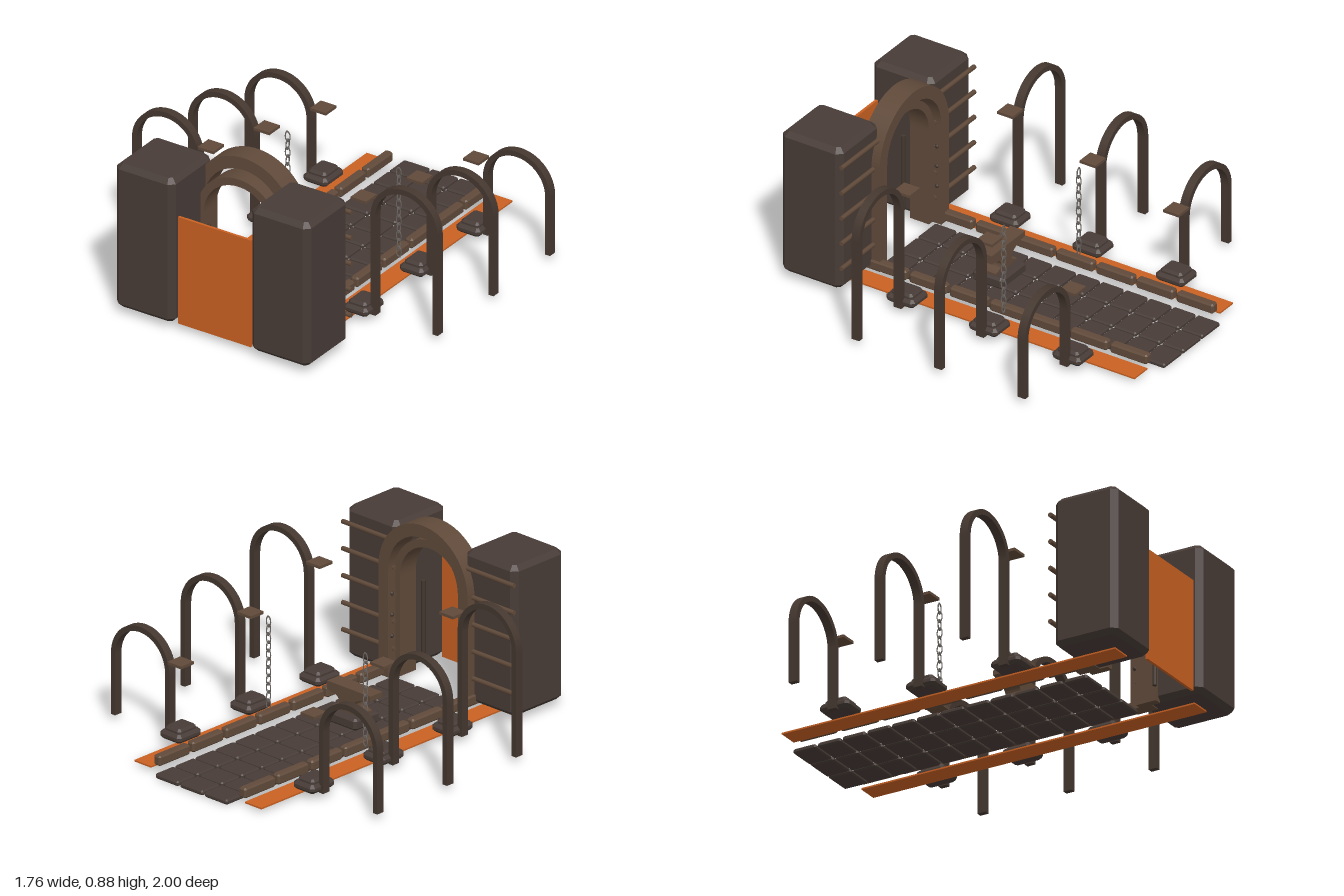
import * as THREE from 'three';

const mat = (name, color, side = THREE.FrontSide) => {
  const m = new THREE.MeshStandardMaterial({ color, side });
  m.name = name;
  return m;
};

// Box with chamfered edges, centred on the origin
function bevelBox(w, h, d, b) {
  const x = w / 2 - b, z = d / 2 - b, c = b * 0.6;
  const s = new THREE.Shape([
    [x - c, -z], [x, -z + c], [x, z - c], [x - c, z],
    [-x + c, z], [-x, z - c], [-x, -z + c], [-x + c, -z],
  ].map(p => new THREE.Vector2(...p)));
  const g = new THREE.ExtrudeGeometry(s, {
    depth: h - 2 * b, bevelEnabled: true, bevelSize: b, bevelThickness: b, bevelSegments: 1,
  });
  g.translate(0, 0, b - h / 2);
  return g.rotateX(-Math.PI / 2);
}

// Round-topped arch with straight legs, centred on x and z
function archGeometry(rOut, rIn, spring, bottom, depth) {
  const s = new THREE.Shape();
  s.moveTo(rOut, bottom);
  s.lineTo(rOut, spring);
  s.absarc(0, spring, rOut, 0, Math.PI, false);
  s.lineTo(-rOut, bottom);
  s.lineTo(-rIn, bottom);
  s.lineTo(-rIn, spring);
  s.absarc(0, spring, rIn, Math.PI, 0, true);
  s.lineTo(rIn, bottom);
  const g = new THREE.ExtrudeGeometry(s, { depth, bevelEnabled: false, curveSegments: 24 });
  return g.translate(0, 0, -depth / 2);
}

export function createModel() {
  const root = new THREE.Group();
  root.name = 'gatehousePath';
  const dark = mat('charcoalStone', 0x473b36);
  const iron = mat('darkIron', 0x44372f);
  const brown = mat('brownStone', 0x5f4939);
  const orange = mat('glowOrange', 0xc86022);
  const steel = mat('chainSteel', 0x6b6560);

  const add = (name, geo, material, x = 0, y = 0, z = 0, parent = root) => {
    const m = new THREE.Mesh(geo, material);
    m.name = name;
    m.position.set(x, y, z);
    parent.add(m);
    return m;
  };

  // Paved path: three columns of twelve tiles
  const path = new THREE.Group();
  path.name = 'path';
  root.add(path);
  const tile = bevelBox(0.153, 0.025, 0.127, 0.007);
  for (let r = 0; r < 12; r++)
    for (let c = -1; c <= 1; c++) add('pathTile', tile, dark, c * 0.162, 0.0125, -0.936 + r * 0.1375, path);

  // Gate door and arches
  add('gateDoor', new THREE.BoxGeometry(0.42, 0.58, 0.014), orange, 0, 0.325, 0.958);
  add('outerArch', archGeometry(0.295, 0.23, 0.59, 0.03, 0.115), brown, 0, 0, 0.6575);
  add('innerArch', archGeometry(0.24, 0.2, 0.55, 0.03, 0.11), brown, 0, 0, 0.705);

  const tower = bevelBox(0.34, 0.78, 0.35, 0.025);
  const rung = new THREE.CylinderGeometry(0.012, 0.012, 0.345, 8).rotateZ(Math.PI / 2);
  const rivet = new THREE.SphereGeometry(0.011, 8, 6);
  const bar = new THREE.CylinderGeometry(0.011, 0.011, 0.41, 8);
  const curb = bevelBox(0.046, 0.052, 0.213, 0.008);
  const foot = bevelBox(0.14, 0.045, 0.165, 0.015);
  const cap = bevelBox(0.105, 0.035, 0.125, 0.012);
  const shelf = new THREE.BoxGeometry(0.09, 0.014, 0.09);
  const link = new THREE.TorusGeometry(0.014, 0.003, 6, 12).scale(1, 1.9, 1);
  const lampPosts = [[0.345, 0.57], [-0.13, 0.457], [-0.61, 0.345]];

  for (const s of [1, -1]) {
    const side = new THREE.Group();
    side.name = s > 0 ? 'leftSide' : 'rightSide';
    root.add(side);
    const put = (name, geo, m, x, y, z) => add(name, geo, m, s * x, y, z, side);

    // Tower with ladder rungs on its back
    put('tower', tower, dark, 0.39, 0.425, 0.822);
    for (let i = 0; i < 5; i++) put('towerRung', rung, brown, 0.395, 0.17 + i * 0.14, 0.637);

    // Rivets and upright bar inside the archway
    for (let i = 0; i < 3; i++) put('archRivet', rivet, iron, 0.23, 0.24 + i * 0.11, 0.625);
    put('gateBar', bar, iron, 0.165, 0.295, 0.775);

    // Glowing side strip and curb stones
    put('glowStrip', new THREE.BoxGeometry(0.11, 0.008, 1.86), orange, 0.365, 0.022, -0.02);
    for (let i = 0; i < 7; i++) put('curbStone', curb, brown, 0.282, 0.06, -0.835 + i * 0.231);

    // Arched posts, taller toward the gate
    for (const [z, spring] of lampPosts) {
      put('archedPost', archGeometry(0.193, 0.165, spring, 0.03, 0.044), iron, 0.687, 0, z);
      put('postFoot', foot, dark, 0.44, 0.057, z);
      put('postFootCap', cap, dark, 0.44, 0.083, z);
      put('postShelf', shelf, brown, 0.44, spring + 0.073, z);
    }

    // Hanging chain
    for (let i = 0; i < 11; i++) {
      const m = put('chainLink', link, steel, 0.32, 0.09 + i * 0.043, -0.13);
      m.rotation.y = (i % 2) * Math.PI / 2;
    }
  }

  // Anvil on a stepped base
  add('anvilBase', bevelBox(0.215, 0.06, 0.175, 0.012), dark, 0, 0.055, 0.11);
  const a = new THREE.Shape();
  a.moveTo(-0.09, 0.08);
  a.lineTo(0.09, 0.08);
  a.lineTo(0.09, 0.095);
  a.quadraticCurveTo(0.045, 0.1, 0.045, 0.13);
  a.quadraticCurveTo(0.05, 0.16, 0.125, 0.165);
  a.lineTo(0.125, 0.21);
  a.lineTo(-0.16, 0.21);
  a.lineTo(-0.16, 0.185);
  a.quadraticCurveTo(-0.05, 0.165, -0.045, 0.13);
  a.quadraticCurveTo(-0.045, 0.1, -0.09, 0.095);
  const anvil = new THREE.ExtrudeGeometry(a, { depth: 0.085, bevelEnabled: false, curveSegments: 6 });
  add('anvil', anvil, brown, 0, 0, 0.07);

  return root;
}
